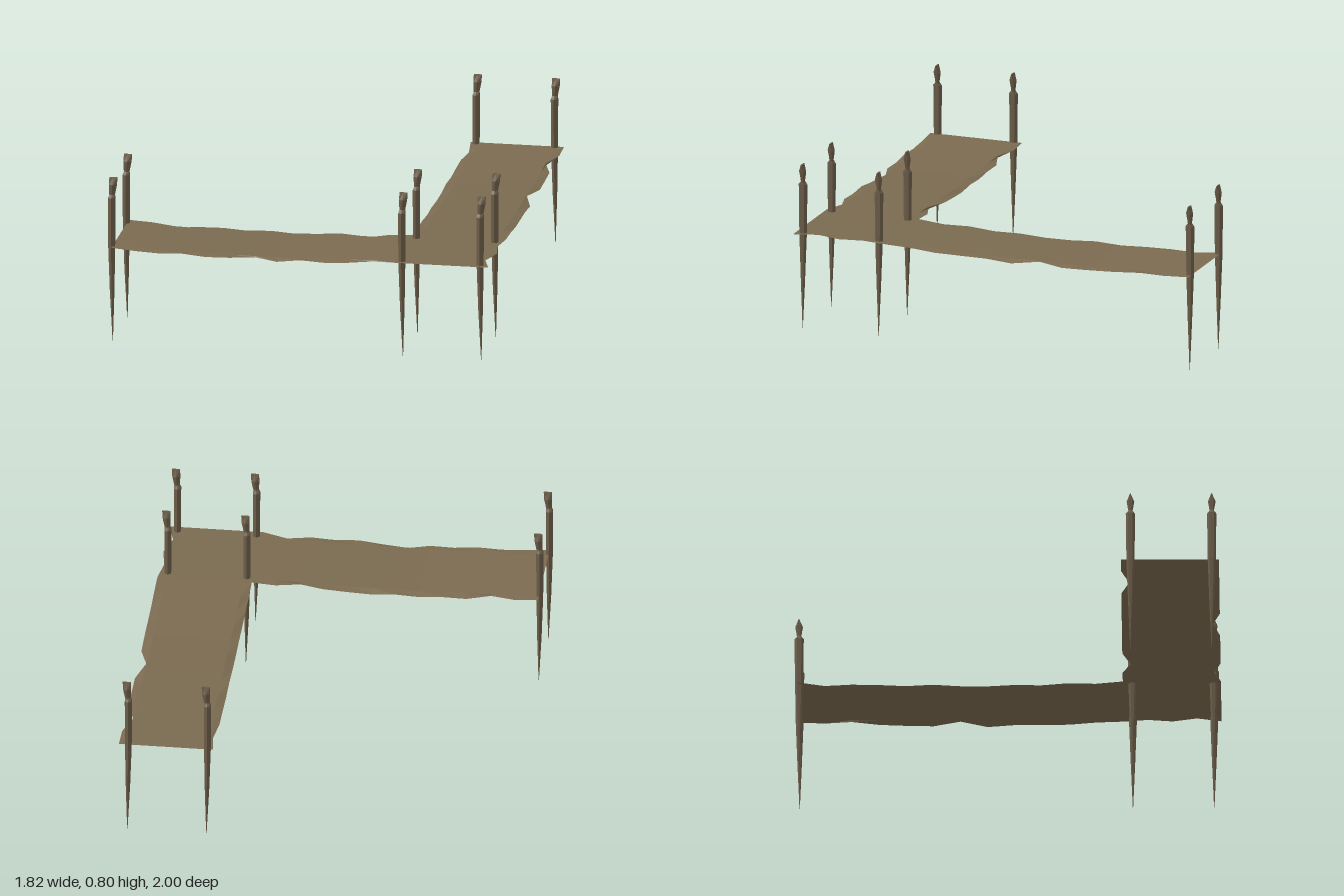
import * as THREE from 'three';

const deckMat = new THREE.MeshStandardMaterial({ color: 0x7a6a50, side: THREE.DoubleSide, flatShading: true });
deckMat.name = 'worn hide brown';
const postMat = new THREE.MeshStandardMaterial({ color: 0x6c5d48, flatShading: true });
postMat.name = 'weathered wood';

// Post rings from top to bottom: [y, x shift, half width, half depth]
const RINGS = [
  [0.80, 0.007, 0.019, 0.004],
  [0.765, 0.005, 0.018, 0.018],
  [0.715, 0.001, 0.013, 0.01],
  [0.70, -0.001, 0.016, 0.022],
  [0.46, -0.001, 0.015, 0.019],
  [0.24, 0.001, 0.010, 0.011],
  [0.0, 0.004, 0.001, 0.001],
];

function makePost() {
  const n = RINGS.length - 1;
  const geo = new THREE.CylinderGeometry(1, 1, 1, 6, n);
  const p = geo.attributes.position;
  for (let i = 0; i < p.count; i++) {
    const [y, dx, w, d] = RINGS[Math.round((0.5 - p.getY(i)) * n)];
    p.setXYZ(i, dx + (p.getX(i) * w) / 0.866, y, p.getZ(i) * d);
  }
  geo.computeVertexNormals();
  return geo;
}

// Sheet skinned over rows of points
function makeSheet(rows) {
  const m = rows[0].length;
  const index = [];
  for (let i = 0; i < rows.length - 1; i++) {
    for (let j = 0; j < m - 1; j++) {
      const a = i * m + j, b = a + m;
      index.push(a, b, a + 1, b, b + 1, a + 1);
    }
  }
  const geo = new THREE.BufferGeometry();
  geo.setAttribute('position', new THREE.Float32BufferAttribute(rows.flat(2), 3));
  geo.setIndex(index);
  geo.computeVertexNormals();
  return geo;
}

const SPANS = 12;
const sag = (i) => 0.464 - (i < SPANS ? 0.014 * Math.sin((Math.PI * i) / SPANS) : 0);
const droop = (i, phase) =>
  i === 0 || i >= SPANS ? 0 : 0.009 * Math.abs(Math.sin(i * 1.9 + phase)) + (i === 7 ? 0.004 : 0);

export function createModel() {
  const model = new THREE.Group();
  model.name = 'cornerWalkway';

  // Long arm with the corner: ragged edges, notch depth by station
  const innerNotch = { 1: 0.015 };
  const outerNotch = { 2: 0.038, 6: 0.038, 13: 0.018, 15: 0.033 };
  const longRows = [];
  for (let i = 0; i <= SPANS + 4; i++) {
    const z = i <= SPANS ? -0.985 + (1.525 * i) / SPANS : 0.54 + 0.115 * (i - SPANS);
    const y = sag(i);
    longRows.push([
      [0.46 + (innerNotch[i] || 0), y - droop(i, 0), z],
      [0.499, y, z],
      [0.865, y, z],
      [0.905 - (outerNotch[i] || 0), y - droop(i, 1), z],
    ]);
  }
  const longDeck = new THREE.Mesh(makeSheet(longRows), deckMat);
  longDeck.name = 'longDeck';
  model.add(longDeck);

  // Short arm
  const frontNotch = { 6: 0.033, 11: 0.03 };
  const backNotch = { 2: 0.037, 10: 0.037 };
  const shortRows = [];
  for (let i = 0; i <= SPANS; i++) {
    const x = -0.89 + (1.35 * i) / SPANS;
    const y = sag(i);
    shortRows.push([
      [x, y - droop(i, 0.5), 1 - (frontNotch[i] || 0)],
      [x, y, 0.964],
      [x, y, 0.58],
      [x, y - droop(i, 1.5), 0.54 + (backNotch[i] || 0)],
    ]);
  }
  const shortDeck = new THREE.Mesh(makeSheet(shortRows), deckMat);
  shortDeck.name = 'shortDeck';
  model.add(shortDeck);

  // Posts at the arm ends and round the corner
  const postGeo = makePost();
  const spots = [
    [-0.893, 0.585], [-0.893, 0.966], [0.489, 0.585], [0.489, 0.966],
    [0.862, 0.585], [0.862, 0.966], [0.489, -0.977], [0.862, -0.977],
  ];
  spots.forEach(([x, z], i) => {
    const post = new THREE.Mesh(postGeo, postMat);
    post.name = `post${i + 1}`;
    post.position.set(x, 0, z);
    model.add(post);
  });

  return model;
}
